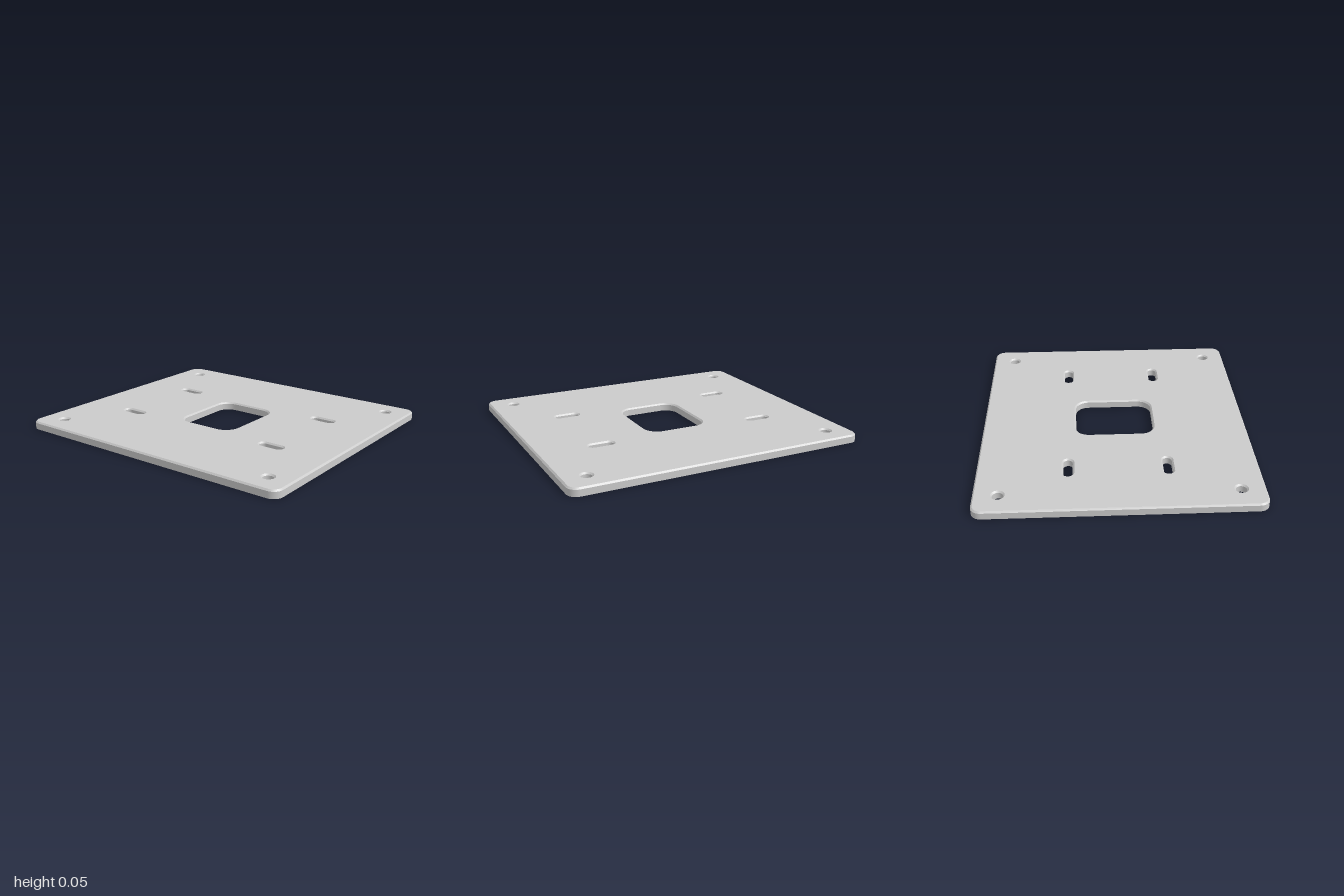
import * as THREE from 'three';

const HEIGHT = 0.053;
const CHAMFER = 0.01;
const ARC_STEPS = 12;

// Rounded rectangle running counter-clockwise, described by its corner centres
// and radius. A zero core length turns it into a slot or a circle.
function contour({ x = 0, z = 0, coreX, coreZ, radius }, offset = 0) {
  const signs = [[1, 1], [-1, 1], [-1, -1], [1, -1]];
  const points = [];
  signs.forEach(([sx, sz], q) => {
    const joined = (q % 2 ? coreX : coreZ) === 0; // corner touches the previous one
    for (let i = joined ? 1 : 0; i <= ARC_STEPS; i++) {
      const a = (q + i / ARC_STEPS) * Math.PI / 2;
      const nx = Math.cos(a), nv = Math.sin(a);
      const r = radius + offset;
      points.push({ x: x + sx * coreX + r * nx, v: -z + sz * coreZ + r * nv, nx, nv });
    }
  });
  return points;
}

// Closed band between two matching contours; side is 1 outside, -1 in a hole.
function band(low, y0, high, y1, side, slope) {
  const position = [], normal = [], index = [];
  const n = low.length;
  const k = 1 / Math.hypot(1, slope);
  for (let i = 0; i < n; i++) {
    const a = low[i], b = high[i];
    position.push(a.x, y0, -a.v, b.x, y1, -b.v);
    for (let j = 0; j < 2; j++) normal.push(side * a.nx * k, slope * k, -side * a.nv * k);
    const p = 2 * i, q = 2 * ((i + 1) % n);
    if (side > 0) index.push(p, q, q + 1, p, q + 1, p + 1);
    else index.push(p, q + 1, q, p, p + 1, q + 1);
  }
  const geometry = new THREE.BufferGeometry();
  geometry.setAttribute('position', new THREE.Float32BufferAttribute(position, 3));
  geometry.setAttribute('normal', new THREE.Float32BufferAttribute(normal, 3));
  geometry.setIndex(index);
  return geometry;
}

// Flat face of the plate with all its openings.
function face(outer, holes) {
  const toVectors = (points) => points.map((p) => new THREE.Vector2(p.x, p.v));
  const shape = new THREE.Shape(toVectors(outer));
  shape.holes = holes.map((h) => new THREE.Path(toVectors(h)));
  return new THREE.ShapeGeometry(shape);
}

export function createModel() {
  const group = new THREE.Group();
  group.name = 'mountingPlate';
  const material = new THREE.MeshStandardMaterial({ color: 0xcccccc });
  const add = (name, geometry, parent = group) => {
    const mesh = new THREE.Mesh(geometry, material);
    mesh.name = name;
    parent.add(mesh);
  };

  const plate = { name: 'plateEdge', coreX: 0.825, coreZ: 0.935, radius: 0.065 };
  const openings = [{ name: 'centreWindow', coreX: 0.173, coreZ: 0.12, radius: 0.09 }];
  for (const sx of [-1, 1]) {
    for (const sz of [-1, 1]) {
      openings.push(
        { name: 'cornerHole', x: sx * 0.737, z: sz * 0.842, coreX: 0, coreZ: 0, radius: 0.034 },
        { name: 'slot', x: sx * 0.316, z: sz * 0.58, coreX: 0, coreZ: 0.055, radius: 0.03 },
      );
    }
  }

  // Upright walls with a chamfer around the top rim
  const addRim = (part, side) => {
    const rim = new THREE.Group();
    rim.name = part.name;
    group.add(rim);
    const base = contour(part), top = contour(part, -side * CHAMFER);
    add('wall', band(base, 0, base, HEIGHT - CHAMFER, side, 0), rim);
    add('chamfer', band(base, HEIGHT - CHAMFER, top, HEIGHT, side, 1), rim);
  };
  addRim(plate, 1);
  openings.forEach((o) => addRim(o, -1));

  // Top and bottom faces
  const topFace = face(contour(plate, -CHAMFER), openings.map((o) => contour(o, CHAMFER)));
  add('topFace', topFace.rotateX(-Math.PI / 2).translate(0, HEIGHT, 0));
  const bottomFace = face(contour(plate), openings.map((o) => contour(o)));
  add('bottomFace', bottomFace.rotateX(Math.PI / 2));

  return group;
}
